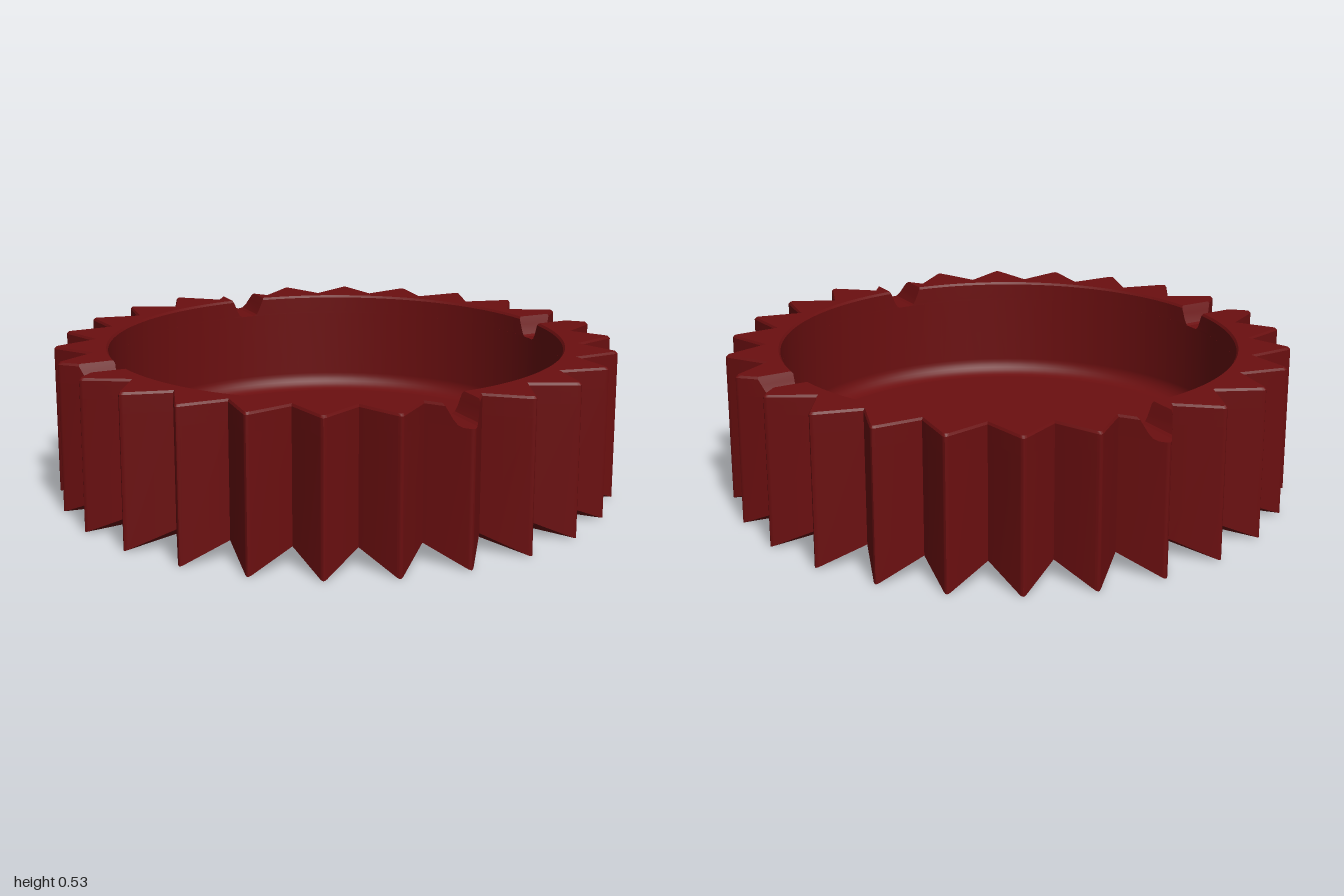
import * as THREE from 'three';
import { toCreasedNormals } from 'three/addons/utils/BufferGeometryUtils.js';

const TEETH = 26, STEP = (Math.PI * 2) / TEETH;
const VALLEY = 0.87, TIP = 1.007, BOWL = 0.81, DISC = 0.14;
const FLOOR = 0.155, SEAT = 0.465;
// notch cross-section: [height, half width]
const NOTCH = [[SEAT, 0.025], [0.471, 0.036], [0.488, 0.046], [0.508, 0.054], [0.527, 0.062], [0.535, 0.066]];

const polar = (r, a) => new THREE.Vector2(r * Math.sin(a), r * Math.cos(a)); // (x, z)

// rounded tip of tooth k
function toothTip(k) {
  const p = polar(TIP, k * STEP);
  const a = p.clone().lerp(polar(VALLEY, (k - 0.5) * STEP), 0.1);
  const b = p.clone().lerp(polar(VALLEY, (k + 0.5) * STEP), 0.1);
  return new THREE.QuadraticBezierCurve(a, p, b).getPoints(4);
}

function solid(tris) {
  const g = new THREE.BufferGeometry().setFromPoints(tris);
  return toCreasedNormals(g, 0.5);
}

// side walls between two matching loops that run counter-clockwise from above
function band(tris, lo, hi) {
  lo.forEach((p, i) => {
    const j = (i + 1) % lo.length;
    tris.push(p, lo[j], hi[j], p, hi[j], hi[i]);
  });
}

// flat face looking up, bounded by a loop and an optional hole
function cap(tris, loop, hole = []) {
  const flat = (l) => l.map((p) => new THREE.Vector2(p.x, -p.z));
  const all = [...loop, ...hole];
  const faces = THREE.ShapeUtils.triangulateShape(flat(loop), hole.length ? [flat(hole)] : []);
  for (const f of faces) tris.push(...f.map((i) => all[i]));
}

// one rim quarter at a given height, ending at the notch walls
function rimLoop(y, w, bevel) {
  const outer = [];
  const t0 = polar(TIP, 0), v0 = polar(VALLEY, STEP / 2);
  outer.push(t0.clone().lerp(v0, w / v0.x));
  for (let k = 0; k < 6; k++) outer.push(polar(VALLEY, (k + 0.5) * STEP), ...toothTip(k + 1));
  const t6 = polar(TIP, 6 * STEP), v6 = polar(VALLEY, 6.5 * STEP);
  outer.push(v6.clone().lerp(t6, w / t6.y));
  const pts = outer.map((p) => p.multiplyScalar(1 - bevel));
  // inner arc, running back
  const r = BOWL * (1 + bevel), start = Math.asin(w / r), span = Math.PI / 2 - 2 * start;
  for (let i = 24; i >= 0; i--) pts.push(polar(r, start + (span * i) / 24));
  return pts.map((p) => new THREE.Vector3(p.x, y, p.y));
}

function rimQuarter(sx, sz) {
  const tris = [];
  const loops = NOTCH.map(([y, w], i) => rimLoop(y, w, i === NOTCH.length - 1 ? 0.008 : 0));
  for (let i = 1; i < loops.length; i++) band(tris, loops[i - 1], loops[i]);
  cap(tris, loops[loops.length - 1]);
  const mirrored = tris.map((p) => new THREE.Vector3(p.x * sx, p.y, p.z * sz));
  if (sx * sz < 0) {
    for (let i = 0; i < mirrored.length; i += 3) [mirrored[i], mirrored[i + 1]] = [mirrored[i + 1], mirrored[i]];
  }
  return solid(mirrored);
}

export function createModel() {
  const group = new THREE.Group();
  const material = new THREE.MeshStandardMaterial({ color: 0x6b0f10, side: THREE.DoubleSide });
  const add = (name, geometry) => {
    const mesh = new THREE.Mesh(geometry, material);
    mesh.name = name;
    group.add(mesh);
  };

  // full toothed outline
  const outline = [];
  for (let k = 0; k < TEETH; k++) outline.push(...toothTip(k), polar(VALLEY, (k + 0.5) * STEP));
  const top = outline.map((p) => new THREE.Vector3(p.x, SEAT, p.y));
  const bottom = outline.map((p) => new THREE.Vector3(p.x, (0.065 * (1 - p.length())) / (1 - VALLEY), p.y));
  const disc = outline.map((p) => {
    const q = p.clone().setLength(DISC);
    return new THREE.Vector3(q.x, 0.01, q.y);
  });

  // toothed outer wall
  const wall = [];
  band(wall, bottom, top);
  add('toothedWall', solid(wall));

  // pleated underside, ridges running in to a small flat disc
  const under = [];
  band(under, disc, bottom);
  const centre = new THREE.Vector3(0, 0.01, 0);
  disc.forEach((p, i) => under.push(centre, disc[(i + 1) % disc.length], p));
  add('pleatedUnderside', solid(under));

  // floor of the four notches
  const seat = [];
  const hole = [];
  for (let i = 0; i < 96; i++) {
    const p = polar(BOWL, (-i * Math.PI * 2) / 96);
    hole.push(new THREE.Vector3(p.x, SEAT, p.y));
  }
  cap(seat, top, hole);
  add('notchFloor', solid(seat));

  // rim quarters between the notches
  for (const sx of [1, -1]) {
    for (const sz of [1, -1]) {
      add(`rim${sz > 0 ? 'Front' : 'Back'}${sx > 0 ? 'Left' : 'Right'}`, rimQuarter(sx, sz));
    }
  }

  // bowl with a rounded foot
  const profile = [new THREE.Vector2(BOWL, SEAT)];
  for (let i = 0; i <= 8; i++) {
    const a = (i / 8) * (Math.PI / 2);
    profile.push(new THREE.Vector2(BOWL - 0.06 + 0.06 * Math.cos(a), FLOOR + 0.06 - 0.06 * Math.sin(a)));
  }
  profile.push(new THREE.Vector2(0, FLOOR));
  add('bowl', new THREE.LatheGeometry(profile, 96));

  return group;
}
